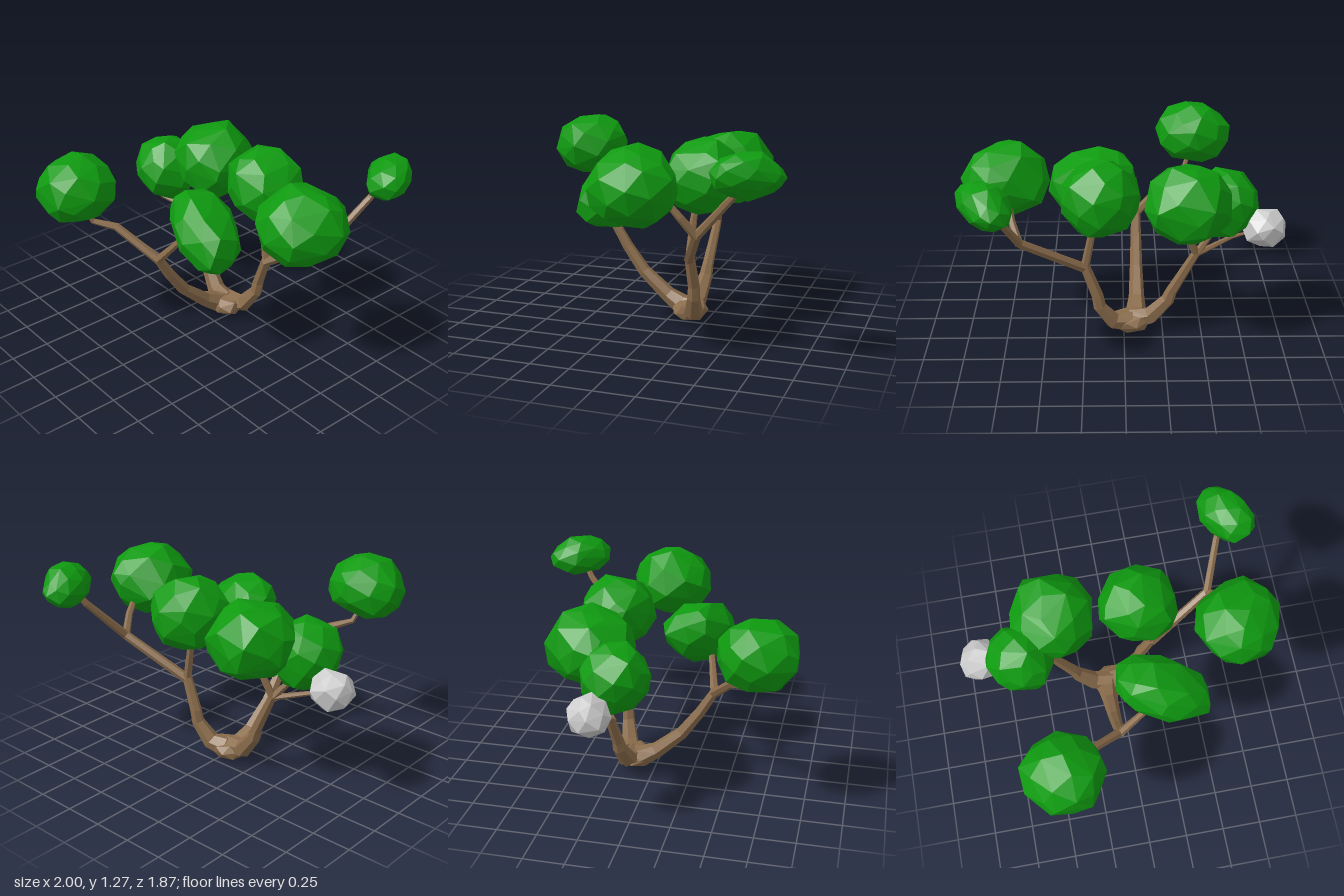
import * as THREE from 'three';
import { ConvexGeometry } from 'three/addons/geometries/ConvexGeometry.js';

const mat = (color) => new THREE.MeshStandardMaterial({ color, flatShading: true });

function seeded(seed) {
  let s = seed * 7919 + 17;
  return () => (s = (s * 16807) % 2147483647) / 2147483647;
}

// Irregular faceted lump fitted to a centre and half sizes; shear tilts it along x.
function lump(name, material, seed, centre, half, count = 42, shear = [0, 0]) {
  const rand = seeded(seed);
  const points = [];
  for (let i = 0; i < count; i++) {
    const y = 1 - (2 * (i + 0.5)) / count;
    const a = i * 2.39996 + rand() * 0.45 + seed;
    const r = Math.sqrt(1 - y * y);
    const p = new THREE.Vector3(Math.cos(a) * r, y + (rand() - 0.5) * 0.12, Math.sin(a) * r);
    p.multiplyScalar(0.95 + rand() * 0.1);
    p.y += shear[0] * p.x;
    p.z += shear[1] * p.x;
    points.push(p);
  }
  const box = new THREE.Box3().setFromPoints(points);
  const mid = box.getCenter(new THREE.Vector3());
  const size = box.getSize(new THREE.Vector3());
  const scale = new THREE.Vector3(...half).multiplyScalar(2).divide(size);
  points.forEach((p) => p.sub(mid).multiply(scale));
  const mesh = new THREE.Mesh(new ConvexGeometry(points), material);
  mesh.position.set(...centre);
  mesh.name = name;
  return mesh;
}

// Tapered six-sided limb through stations of [x, y, z, radius].
function limb(name, material, stations, sides = 6) {
  const pts = stations.map((s) => new THREE.Vector3(s[0], s[1], s[2]));
  const n = pts.length;
  const pos = [];
  const index = [];
  let tangent = new THREE.Vector3(0, 1, 0);
  const turn = new THREE.Quaternion();
  pts.forEach((p, i) => {
    const next = new THREE.Vector3().subVectors(pts[Math.min(i + 1, n - 1)], pts[Math.max(i - 1, 0)]).normalize();
    turn.premultiply(new THREE.Quaternion().setFromUnitVectors(tangent, next));
    tangent = next;
    for (let k = 0; k < sides; k++) {
      const a = (k / sides) * Math.PI * 2;
      const v = new THREE.Vector3(Math.cos(a), 0, Math.sin(a)).multiplyScalar(stations[i][3]);
      v.applyQuaternion(turn).add(p);
      pos.push(v.x, v.y, v.z);
    }
  });
  for (let i = 0; i < n - 1; i++) {
    for (let k = 0; k < sides; k++) {
      const a = i * sides + k;
      const b = i * sides + ((k + 1) % sides);
      index.push(a, a + sides, b, b, a + sides, b + sides);
    }
  }
  // end caps
  const last = (n - 1) * sides;
  for (let k = 1; k < sides - 1; k++) {
    index.push(0, k, k + 1, last, last + k + 1, last + k);
  }
  const geo = new THREE.BufferGeometry();
  geo.setAttribute('position', new THREE.Float32BufferAttribute(pos, 3));
  geo.setIndex(index);
  geo.computeVertexNormals();
  const mesh = new THREE.Mesh(geo, material);
  mesh.name = name;
  return mesh;
}

export function createModel() {
  const tree = new THREE.Group();
  tree.name = 'tree';
  const bark = mat(0x8b6d4c);
  const leaf = mat(0x0f9a10);
  const grey = mat(0xcccccc);

  // Root where the three trunks meet
  tree.add(lump('root', bark, 3, [-0.05, 0.07, -0.15], [0.12, 0.07, 0.11], 22));

  // Main trunks, then the forks growing from them
  const limbs = {
    frontTrunk: [[-0.07, 0.075, -0.17, 0.07], [-0.08, 0.085, -0.08, 0.07], [-0.085, 0.145, 0.02, 0.052],
      [-0.085, 0.29, 0.185, 0.042], [-0.085, 0.45, 0.3, 0.036], [-0.085, 0.61, 0.395, 0.03]],
    leftTrunk: [[-0.05, 0.08, -0.15, 0.07], [-0.17, 0.11, -0.16, 0.06], [-0.28, 0.24, -0.18, 0.045],
      [-0.3, 0.3, -0.185, 0.038], [-0.45, 0.59, -0.21, 0.027]],
    rightTrunk: [[-0.04, 0.08, -0.17, 0.07], [0.07, 0.1, -0.2, 0.058], [0.155, 0.22, -0.23, 0.042],
      [0.168, 0.3, -0.235, 0.038], [0.245, 0.51, -0.23, 0.032]],
    frontOuterBranch: [[-0.085, 0.59, 0.385, 0.03], [-0.32, 0.78, 0.53, 0.026], [-0.42, 0.815, 0.635, 0.018],
      [-0.45, 0.9, 0.67, 0.015]],
    frontInnerBranch: [[-0.085, 0.59, 0.39, 0.028], [0.06, 0.76, 0.345, 0.021], [0.13, 0.85, 0.32, 0.018]],
    leftUpperBranch: [[-0.45, 0.58, -0.21, 0.024], [-0.37, 0.78, -0.255, 0.021], [-0.35, 0.85, -0.27, 0.018]],
    leftMiddleBranch: [[-0.45, 0.58, -0.21, 0.024], [-0.55, 0.71, -0.16, 0.02], [-0.59, 0.8, -0.13, 0.015]],
    leftTwig: [[-0.45, 0.58, -0.21, 0.02], [-0.68, 0.645, -0.1, 0.014], [-0.76, 0.705, -0.17, 0.008],
      [-0.82, 0.74, -0.18, 0.006]],
    rightInnerBranch: [[0.245, 0.5, -0.23, 0.028], [0.2, 0.73, -0.24, 0.023], [0.18, 0.88, -0.26, 0.018]],
    rightLongBranch: [[0.24, 0.49, -0.225, 0.033], [0.63, 0.75, -0.395, 0.029], [0.72, 1.01, -0.63, 0.022],
      [0.75, 1.09, -0.68, 0.018]],
    rightOuterBranch: [[0.63, 0.74, -0.395, 0.027], [0.68, 0.86, -0.31, 0.023], [0.7, 0.97, -0.22, 0.018]],
  };
  for (const [name, stations] of Object.entries(limbs)) tree.add(limb(name, bark, stations));

  // Leaf clumps: centre, half sizes, shear
  const clumps = [
    ['frontLeaves', [-0.475, 1.05, 0.7], [0.25, 0.21, 0.235]],
    ['middleLeaves', [0.205, 0.89, 0.245], [0.285, 0.21, 0.22], [-0.35, 0.3]],
    ['leftLeaves', [0.728, 1.03, -0.05], [0.272, 0.238, 0.268]],
    ['backTipLeaves', [0.788, 1.143, -0.728], [0.163, 0.132, 0.202], [0.1, 0.35]],
    ['backInnerLeaves', [0.142, 1.0, -0.29], [0.243, 0.235, 0.24]],
    ['backOuterLeaves', [-0.383, 0.975, -0.315], [0.265, 0.235, 0.265]],
    ['rightLeaves', [-0.622, 0.89, -0.105], [0.213, 0.21, 0.208]],
  ];
  clumps.forEach(([name, centre, half, shear], i) => tree.add(lump(name, leaf, i + 11, centre, half, 42, shear)));

  // Small grey clump at the end of the twig
  tree.add(lump('greyClump', grey, 29, [-0.865, 0.758, -0.19], [0.135, 0.119, 0.13], 26));
  return tree;
}
